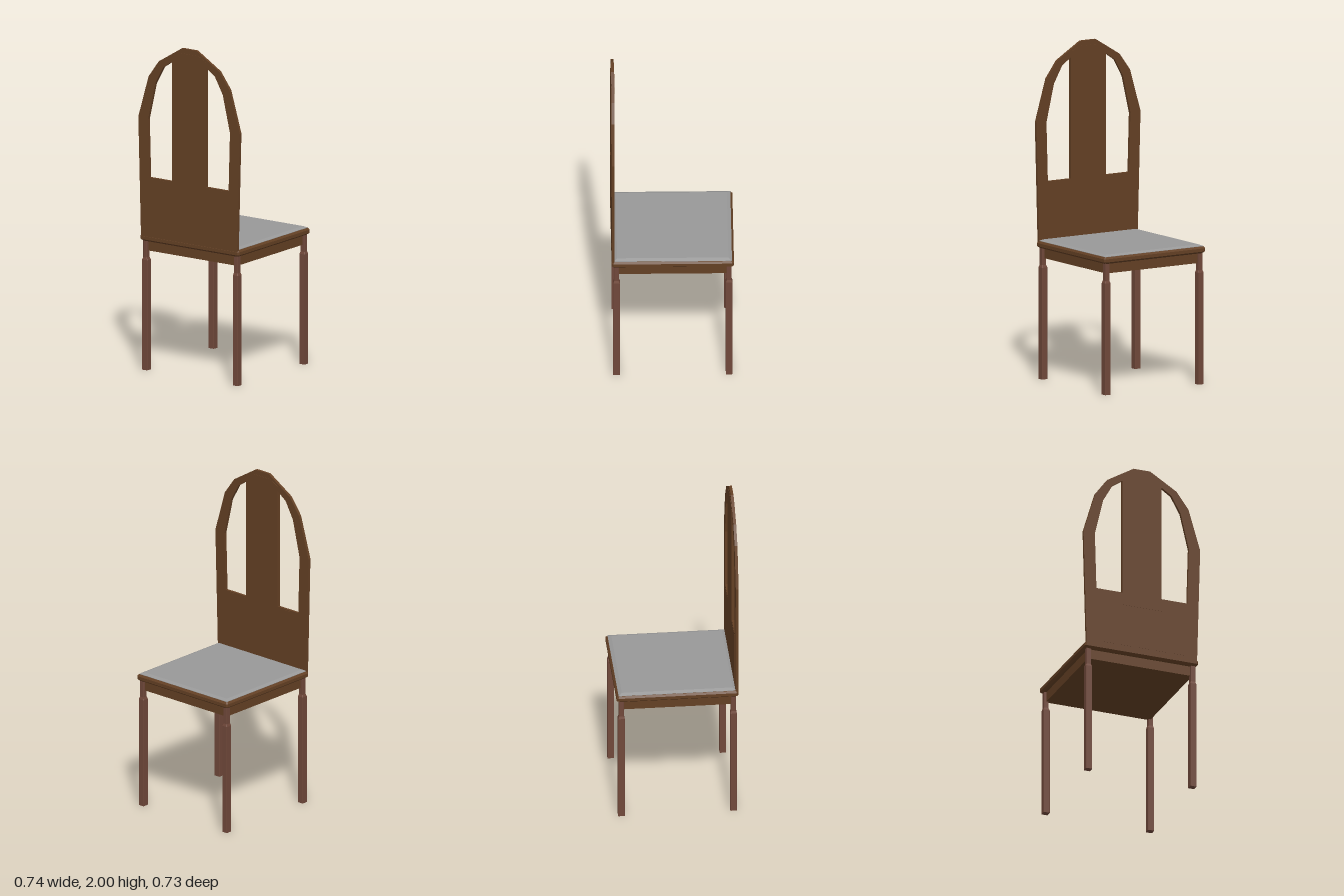
import * as THREE from 'three';

const wood = new THREE.MeshStandardMaterial({ color: 0x644024, flatShading: true });
const legWood = new THREE.MeshStandardMaterial({ color: 0x70483a, flatShading: true });
const fabric = new THREE.MeshStandardMaterial({ color: 0x989898, flatShading: true });

// Stacks square sections with cut corners, each [half width, y, corner cut], bottom to top.
function squareLoft(sections) {
  const position = [], index = [];
  for (const [h, y, c] of sections) {
    const k = h - c;
    for (const [x, z] of [[h, k], [h, -k], [k, -h], [-k, -h], [-h, -k], [-h, k], [-k, h], [k, h]]) position.push(x, y, z);
  }
  for (let s = 0; s < sections.length - 1; s++) {
    for (let i = 0; i < 8; i++) {
      const a = s * 8 + i, b = s * 8 + (i + 1) % 8;
      index.push(a, b, b + 8, a, b + 8, a + 8);
    }
  }
  const top = (sections.length - 1) * 8;
  for (let i = 1; i < 7; i++) index.push(0, i + 1, i, top, top + i, top + i + 1);
  const geometry = new THREE.BufferGeometry();
  geometry.setAttribute('position', new THREE.Float32BufferAttribute(position, 3));
  geometry.setIndex(index);
  const flat = geometry.toNonIndexed();
  flat.computeVertexNormals();
  return flat;
}

const toVectors = pts => pts.map(([x, y]) => new THREE.Vector2(x, y));
const mirror = pts => pts.map(([x, y]) => [-x, y]).reverse();

// Symmetrical board from the right half of its outline, centred in depth on the backrest.
function board(half, depth, openings = []) {
  const shape = new THREE.Shape(toVectors([...half, ...mirror(half)]));
  for (const o of openings) shape.holes.push(new THREE.Path(toVectors(o)));
  return new THREE.ExtrudeGeometry(shape, { depth, bevelEnabled: false }).translate(0, 0, 0.3525 - depth / 2);
}

export function createModel() {
  const chair = new THREE.Group();
  chair.name = 'chair';
  const add = (name, geometry, material, x = 0, y = 0, z = 0) => {
    const mesh = new THREE.Mesh(geometry, material);
    mesh.name = name;
    mesh.position.set(x, y, z);
    chair.add(mesh);
  };

  // Legs: thick below, stepping in to a slimmer block beside the apron
  const legGeometry = squareLoft([
    [0.0195, 0, 0.002], [0.0195, 0.67, 0.002], [0.0145, 0.685, 0.002], [0.0145, 0.79, 0.002],
  ]);
  for (const x of [-1, 1]) {
    for (const z of [-1, 1]) {
      add((z > 0 ? 'back' : 'front') + (x > 0 ? 'LeftLeg' : 'RightLeg'), legGeometry, legWood, x * 0.333, 0, z * 0.333);
    }
  }

  // Solid apron block under the seat
  add('apron', new THREE.BoxGeometry(0.666, 0.065, 0.666), wood, 0, 0.7585, 0);

  // Seat board with bevelled rim, and the thin cushion on it
  add('seatBoard', squareLoft([
    [0.348, 0.786, 0.008], [0.362, 0.797, 0.01], [0.362, 0.816, 0.01], [0.352, 0.827, 0.006],
  ]), wood);
  add('cushion', squareLoft([[0.35, 0.815, 0.002], [0.35, 0.829, 0.002], [0.329, 0.838, 0.002]]), fabric);

  // Arched backrest with two window openings
  const outer = [[0.352, 0.8], [0.372, 1.54], [0.297, 1.795], [0.222, 1.897], [0.053, 2]];
  const opening = [[0.125, 1.18], [0.29, 1.18], [0.3, 1.535], [0.247, 1.76], [0.188, 1.865], [0.125, 1.908]];
  add('backrest', board(outer, 0.017, [opening, mirror(opening)]), wood);

  // Slightly raised centre slat and lower panel
  add('backSlat', board([[0.125, 1.1], [0.125, 1.94], [0.07, 1.97]], 0.021), wood);
  add('backPanel', board([[0.283, 0.838], [0.283, 1.172]], 0.0185), wood);

  return chair;
}
